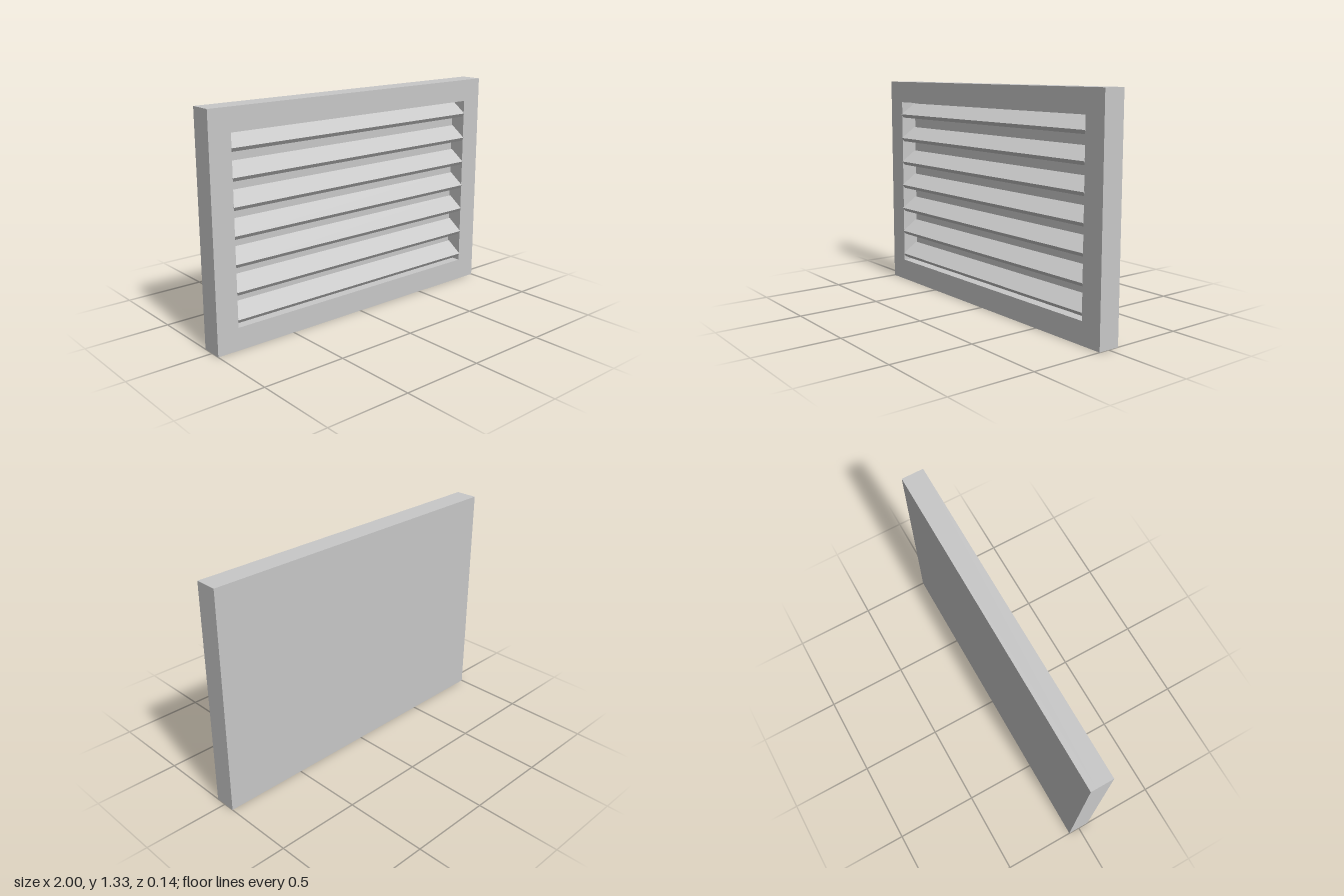
import * as THREE from 'three';

const W = 2, H = 1.333, BORDER = 0.133;
const BACK = -0.069, FRONT = 0.064, RECESS = -0.036; // z planes
const SLATS = 7, PITCH = 0.157, FIRST_TIP = 0.178, TIP_Z = 0.069;
const SLAT_WIDTH = 0.12, SLAT_THICKNESS = 0.027, TILT = THREE.MathUtils.degToRad(35);

export function createModel() {
  const model = new THREE.Group();
  model.name = 'louvredVent';
  const grey = new THREE.MeshStandardMaterial({ color: 0xc8c8c8 });
  grey.name = 'light grey';

  // Solid panel closing the back
  const panel = new THREE.Mesh(new THREE.BoxGeometry(W, H, RECESS - BACK), grey);
  panel.name = 'backPanel';
  panel.position.set(0, H / 2, (RECESS + BACK) / 2);
  model.add(panel);

  // Frame with a rectangular opening
  const x = W / 2, ix = x - BORDER, iy = H - BORDER;
  const outline = new THREE.Shape([[-x, 0], [x, 0], [x, H], [-x, H]].map(p => new THREE.Vector2(...p)));
  outline.holes.push(new THREE.Path(
    [[-ix, BORDER], [-ix, iy], [ix, iy], [ix, BORDER]].map(p => new THREE.Vector2(...p))));
  const frame = new THREE.Mesh(
    new THREE.ExtrudeGeometry(outline, { depth: FRONT - RECESS, bevelEnabled: false }), grey);
  frame.name = 'frame';
  frame.position.z = RECESS;
  model.add(frame);

  // Slats sloping down to the front; each pivots on its upper front edge
  const slatGeometry = new THREE.BoxGeometry(2 * ix + 0.002, SLAT_THICKNESS, SLAT_WIDTH);
  slatGeometry.translate(0, -SLAT_THICKNESS / 2, -SLAT_WIDTH / 2);
  const slats = new THREE.Group();
  slats.name = 'slats';
  for (let i = 0; i < SLATS; i++) {
    const slat = new THREE.Mesh(slatGeometry, grey);
    slat.name = `slat${i + 1}`;
    slat.position.set(0, FIRST_TIP + i * PITCH, TIP_Z);
    slat.rotation.x = TILT;
    slats.add(slat);
  }
  model.add(slats);
  return model;
}
